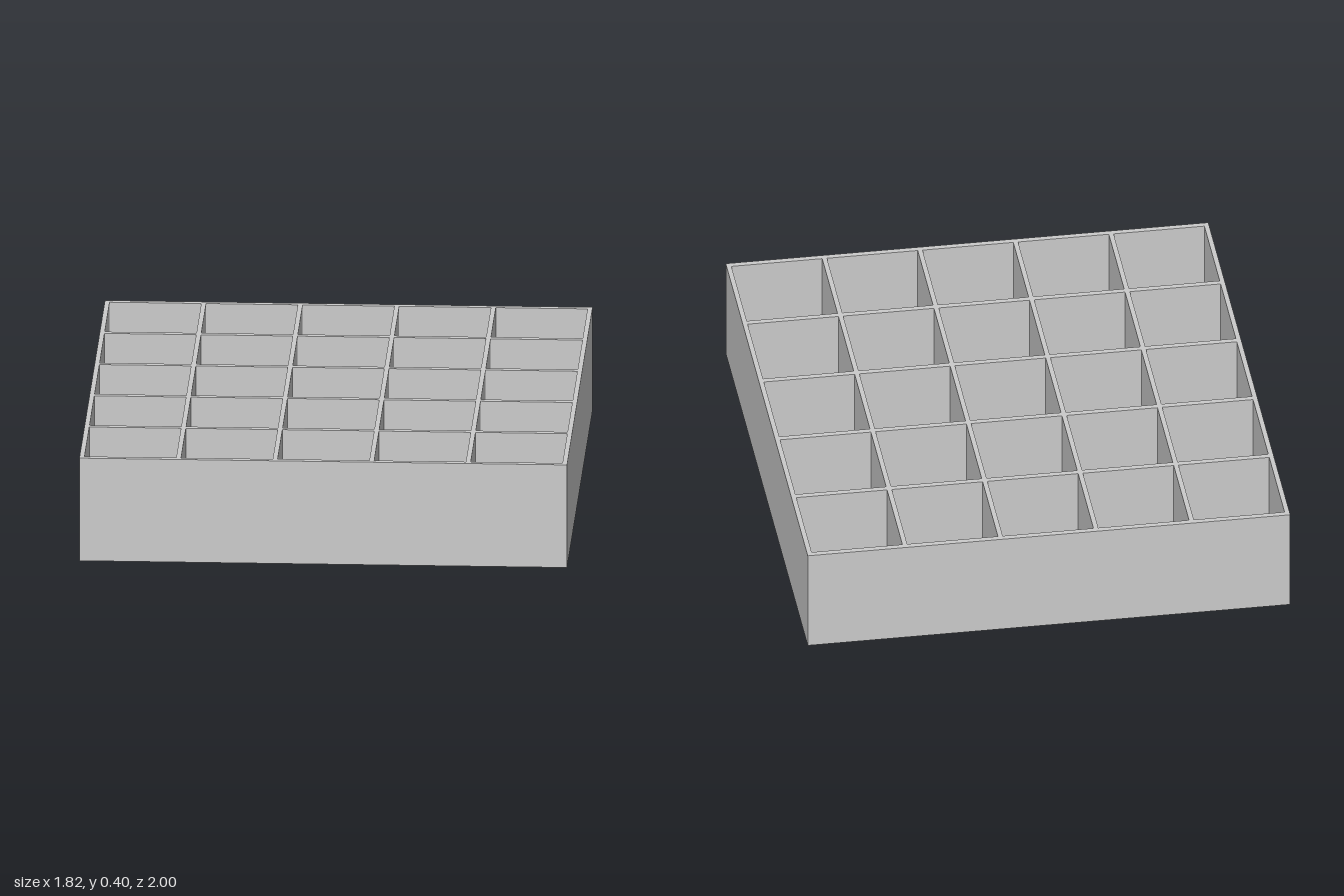
import * as THREE from 'three';

// Open grid of cells: a rectangle with rows and columns of holes, pulled upward
const COLS = 5, ROWS = 5, HEIGHT = 0.4;
const PITCH_X = 0.36, PITCH_Z = 0.3956;   // spacing of wall centres
const WALL_X = 0.018, WALL_Z = 0.022;     // wall thicknesses

function rectangle(target, cx, cy, w, h) {
  target.moveTo(cx - w / 2, cy - h / 2);
  target.lineTo(cx + w / 2, cy - h / 2);
  target.lineTo(cx + w / 2, cy + h / 2);
  target.lineTo(cx - w / 2, cy + h / 2);
  target.closePath();
  return target;
}

export function createModel() {
  const group = new THREE.Group();
  group.name = 'dividerGrid';

  // Outer frame outline
  const outline = rectangle(new THREE.Shape(), 0, 0, COLS * PITCH_X + WALL_X, ROWS * PITCH_Z + WALL_Z);

  // Open cells between the dividers
  for (let i = 0; i < COLS; i++) {
    for (let j = 0; j < ROWS; j++) {
      const cx = (i - (COLS - 1) / 2) * PITCH_X;
      const cz = (j - (ROWS - 1) / 2) * PITCH_Z;
      outline.holes.push(rectangle(new THREE.Path(), cx, cz, PITCH_X - WALL_X, PITCH_Z - WALL_Z));
    }
  }

  const geometry = new THREE.ExtrudeGeometry(outline, { depth: HEIGHT, bevelEnabled: false });
  geometry.rotateX(-Math.PI / 2);

  const walls = new THREE.Mesh(geometry, new THREE.MeshStandardMaterial({ color: 0xcccccc }));
  walls.name = 'gridWalls';
  group.add(walls);
  return group;
}
